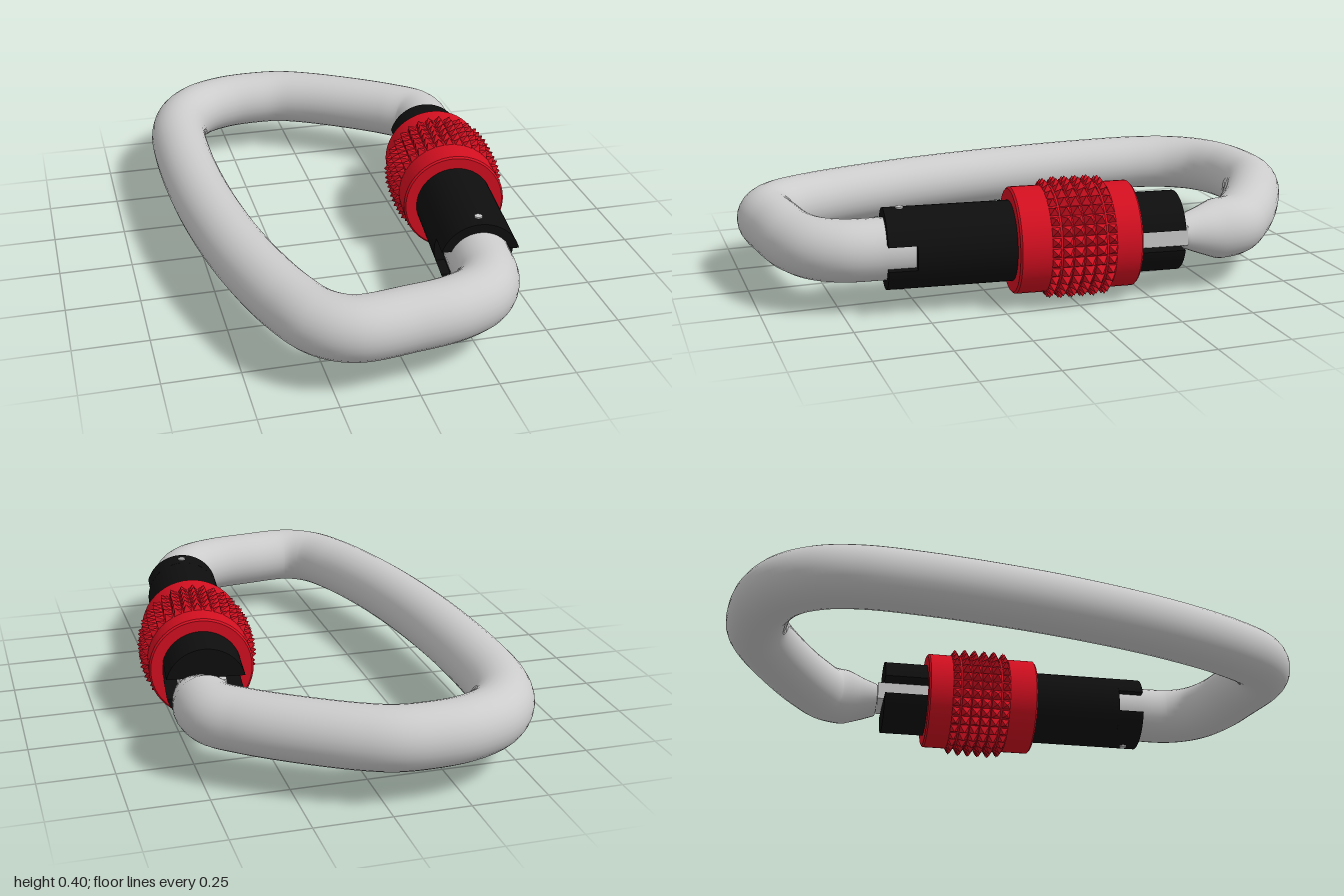
import * as THREE from 'three';
import { mergeGeometries } from 'three/addons/utils/BufferGeometryUtils.js';

const MID = 0.203;          // height of the centre plane
const BODY_R = 0.102;
const SLEEVE_R = 0.133;

const metal = new THREE.MeshStandardMaterial({ color: 0xcccccc });
const black = new THREE.MeshStandardMaterial({ color: 0x0e0e0e });
const red = new THREE.MeshStandardMaterial({ color: 0xd30f20 });
const redFlat = new THREE.MeshStandardMaterial({ color: 0xd30f20, flatShading: true });

function add(parent, name, geometry, material) {
  const mesh = new THREE.Mesh(geometry, material);
  mesh.name = name;
  parent.add(mesh);
  return mesh;
}

// Cylinder along z between two positions
function rod(r, z0, z1) {
  return new THREE.CylinderGeometry(r, r, z1 - z0, 40).rotateX(Math.PI / 2).translate(0, 0, (z0 + z1) / 2);
}

// Upper half of a round section, cut off at a given height for the slot;
// with an inner radius it becomes a curved wall
function jawShape(outer, cut, inner = 0) {
  const a = Math.asin(cut / outer);
  const shape = new THREE.Shape();
  shape.absarc(0, 0, outer, a, Math.PI - a, false);
  if (inner) {
    const b = Math.asin(cut / inner);
    shape.absarc(0, 0, inner, Math.PI - b, b, true);
  }
  shape.closePath();
  return shape;
}

// Bent bar, narrowing into a closed nose at its first end
function bodyGeometry() {
  const points = [
    [0.455, -0.37], [0.462, -0.47], [0.445, -0.57], [0.37, -0.645], [0.25, -0.735],
    [0.06, -0.85], [-0.04, -0.89], [-0.14, -0.898], [-0.26, -0.885], [-0.37, -0.835],
    [-0.445, -0.745], [-0.485, -0.62], [-0.498, -0.4], [-0.485, -0.05], [-0.45, 0.25],
    [-0.405, 0.48], [-0.34, 0.7], [-0.27, 0.84], [-0.18, 0.898], [0, 0.885],
    [0.14, 0.86], [0.24, 0.81], [0.295, 0.73], [0.315, 0.6], [0.327, 0.5],
  ].map(([x, z]) => new THREE.Vector3(x, MID, z));
  const path = new THREE.CatmullRomCurve3(points);
  const rings = 240, sides = 28;
  const geo = new THREE.TubeGeometry(path, rings, BODY_R, sides);
  const pos = geo.attributes.position;
  const length = path.getLength();
  const v = new THREE.Vector3();
  for (let i = 0; i <= rings; i++) {
    const s = (i / rings) * length;
    const t = THREE.MathUtils.clamp(s / 0.13, 0, 1);
    const wide = i === 0 ? 0 : 0.72 + 0.28 * t;
    const tall = i === 0 ? 0 : 0.5 + 0.5 * t;
    if (t === 1) break;
    const c = path.getPointAt(i / rings);
    for (let j = 0; j <= sides; j++) {
      const k = i * (sides + 1) + j;
      v.fromBufferAttribute(pos, k).sub(c);
      pos.setXYZ(k, c.x + v.x * wide, c.y + v.y * tall, c.z + v.z * wide);
    }
  }
  return geo;
}

// Rows of small pyramids around the collar
function knurlGeometry() {
  const rows = 6, around = 32, pitch = 0.037;
  const parts = [];
  for (let r = 0; r < rows; r++) {
    const offset = r - (rows - 1) / 2;
    const lift = Math.abs(offset) > 2 ? -0.004 : 0;
    for (let i = 0; i < around; i++) {
      const spike = new THREE.ConeGeometry(0.0265, 0.03, 4, 1, true);
      spike.rotateY(Math.PI / 4).translate(0, 0.187 + lift, offset * pitch);
      parts.push(spike.rotateZ((i / around) * Math.PI * 2));
    }
  }
  return mergeGeometries(parts);
}

export function createModel() {
  const model = new THREE.Group();
  model.name = 'lockingCarabiner';
  add(model, 'body', bodyGeometry(), metal);

  // Gate, lying along its own z axis
  const gate = new THREE.Group();
  gate.name = 'gate';
  gate.position.set(0.37, MID, 0.12);
  gate.rotation.y = Math.atan2(-0.11, 0.97);
  model.add(gate);

  add(gate, 'sleeve', rod(SLEEVE_R, -0.31, 0.395), black);
  for (const turn of [0, Math.PI]) {
    const noseJaw = new THREE.ExtrudeGeometry(jawShape(SLEEVE_R, 0.034),
      { depth: 0.18, bevelEnabled: false, curveSegments: 24 });
    add(gate, 'noseJaw', noseJaw.translate(0, 0, -0.488).rotateZ(turn), black);
    const hingeJaw = new THREE.ExtrudeGeometry(jawShape(SLEEVE_R, 0.04, 0.104),
      { depth: 0.095, bevelEnabled: false, curveSegments: 24 });
    add(gate, 'hingeJaw', hingeJaw.translate(0, 0, 0.393).rotateZ(turn), black);
  }

  // Flat tongue of the nose held in the slot
  add(gate, 'noseTongue', new THREE.BoxGeometry(0.15, 0.064, 0.21).translate(0.01, 0, -0.405), metal);

  // Hinge pin through the sleeve
  const pin = add(gate, 'hingePin', new THREE.CylinderGeometry(0.013, 0.013, 0.276, 16), metal);
  pin.position.z = 0.435;

  // Screw collar with slightly bevelled ends
  const profile = [[0.13, -0.33], [0.17, -0.33], [0.176, -0.324], [0.176, 0.069], [0.17, 0.075], [0.13, 0.075]];
  const segments = profile.slice(1).map((p, i) => new THREE.LatheGeometry(
    [profile[i], p].map(([r, z]) => new THREE.Vector2(r, z)), 48));
  add(gate, 'collar', mergeGeometries(segments).rotateX(Math.PI / 2), red);
  add(gate, 'collarGrip', knurlGeometry().translate(0, 0, -0.135), redFlat);

  return model;
}
